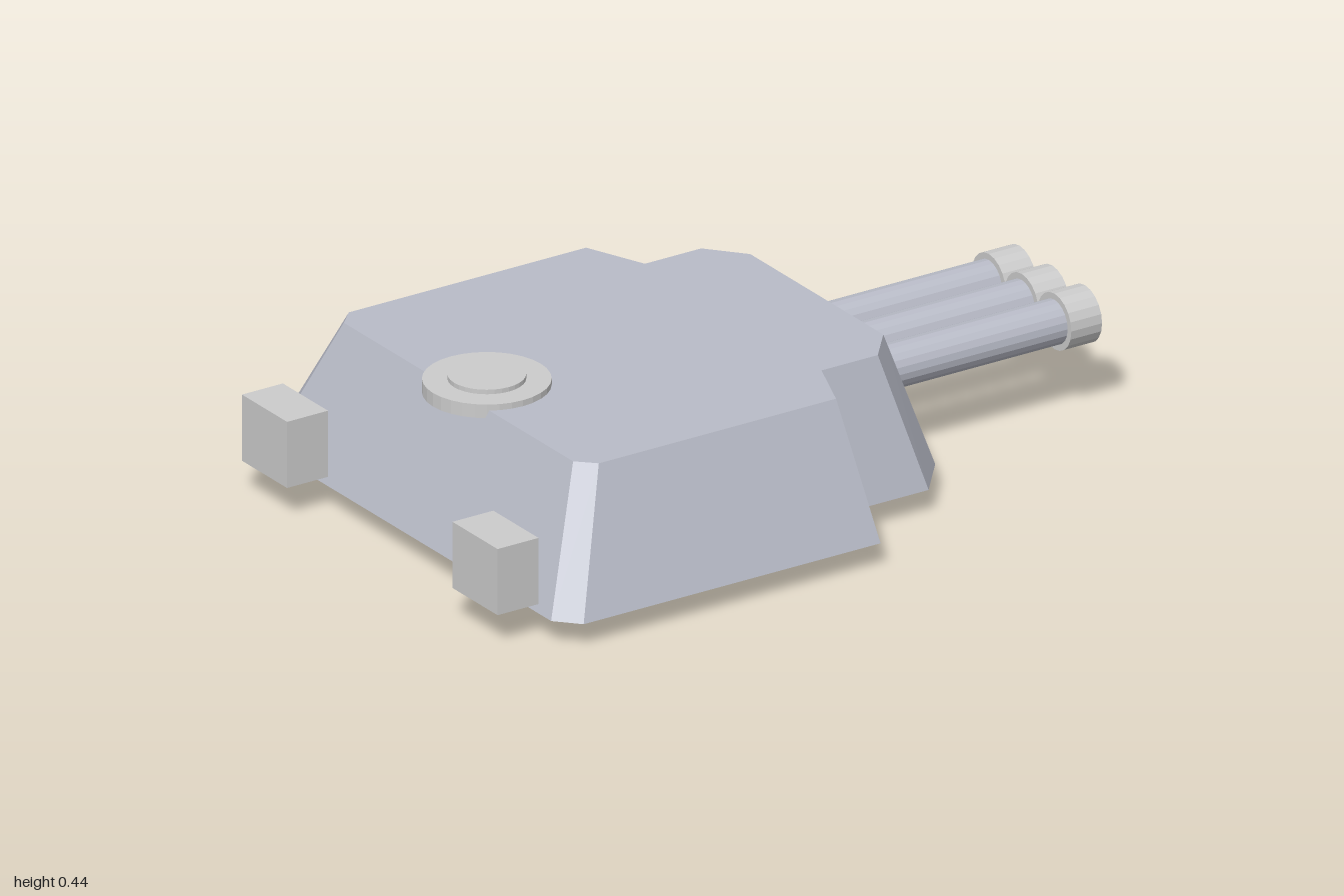
import * as THREE from 'three';

const grey = new THREE.MeshStandardMaterial({ color: 0xcccccc, flatShading: true });
const steel = new THREE.MeshStandardMaterial({ color: 0xb9bcc8, flatShading: true });

// Closed outline from its +z half, listed back to front as [x, z]
const mirrorOutline = (half) => [...half, ...half.map(([x, z]) => [x, -z]).reverse()];

// Solid between two outlines with matching points at heights y0 and y1
function loft(bottom, y0, top, y1) {
  const pos = [];
  const add = (y, pts) => pts.forEach(([x, z]) => pos.push(x, y, z));
  bottom.forEach((b, i) => {
    const j = (i + 1) % bottom.length;
    add(y0, [b, bottom[j]]);
    add(y1, [top[j]]);
    add(y0, [b]);
    add(y1, [top[j], top[i]]);
  });
  const cap = (outline) => THREE.ShapeUtils.triangulateShape(
    outline.map(([x, z]) => new THREE.Vector2(x, -z)), []);
  for (const [a, b, c] of cap(top)) add(y1, [top[a], top[b], top[c]]);
  for (const [a, b, c] of cap(bottom)) add(y0, [bottom[a], bottom[c], bottom[b]]);
  const geo = new THREE.BufferGeometry();
  geo.setAttribute('position', new THREE.Float32BufferAttribute(pos, 3));
  geo.computeVertexNormals();
  return geo;
}

export function createModel() {
  const model = new THREE.Group();
  const add = (name, geo, mat, x = 0, y = 0, z = 0, parent = model) => {
    const mesh = new THREE.Mesh(geo, mat);
    mesh.name = name;
    mesh.position.set(x, y, z);
    parent.add(mesh);
    return mesh;
  };
  // Upright disc between two heights
  const disc = (name, r, y0, y1, x) =>
    add(name, new THREE.CylinderGeometry(r, r, y1 - y0, 32), grey, x, (y0 + y1) / 2);
  // Cylinder along x between two stations
  const rod = (name, r, x0, x1, mat, parent) =>
    add(name, new THREE.CylinderGeometry(r, r, x1 - x0, 20).rotateZ(-Math.PI / 2),
      mat, (x0 + x1) / 2, 0, 0, parent);

  // Sloped armoured housing with a stepped gun face
  const bottom = mirrorOutline([[-0.885, 0.62], [-0.83, 0.68], [0.04, 0.68],
    [0.115, 0.48], [0.315, 0.48], [0.415, 0.36]]);
  const top = mirrorOutline([[-0.74, 0.5], [-0.695, 0.545], [0, 0.545],
    [0.065, 0.385], [0.23, 0.385], [0.31, 0.29]]);
  add('turretHousing', loft(bottom, 0.065, top, 0.41), steel);

  // Rotating base and roof hatch
  disc('baseRing', 0.44, 0, 0.07, -0.16);
  disc('hatchRim', 0.158, 0.39, 0.426, -0.657);
  disc('hatchLid', 0.096, 0.42, 0.438, -0.657);

  // Three guns, each a barrel with a muzzle collar
  for (const z of [-0.143, 0, 0.143]) {
    const gun = new THREE.Group();
    gun.name = 'gun';
    gun.position.set(0, 0.242, z);
    rod('barrel', 0.058, 0.3, 0.93, steel, gun);
    rod('muzzle', 0.074, 0.91, 1, grey, gun);
    model.add(gun);
  }

  // Rear boxes
  for (const s of [1, -1]) {
    add('rearBox', new THREE.BoxGeometry(0.12, 0.176, 0.197), grey, -0.94, 0.174, s * 0.459);
  }
  return model;
}
